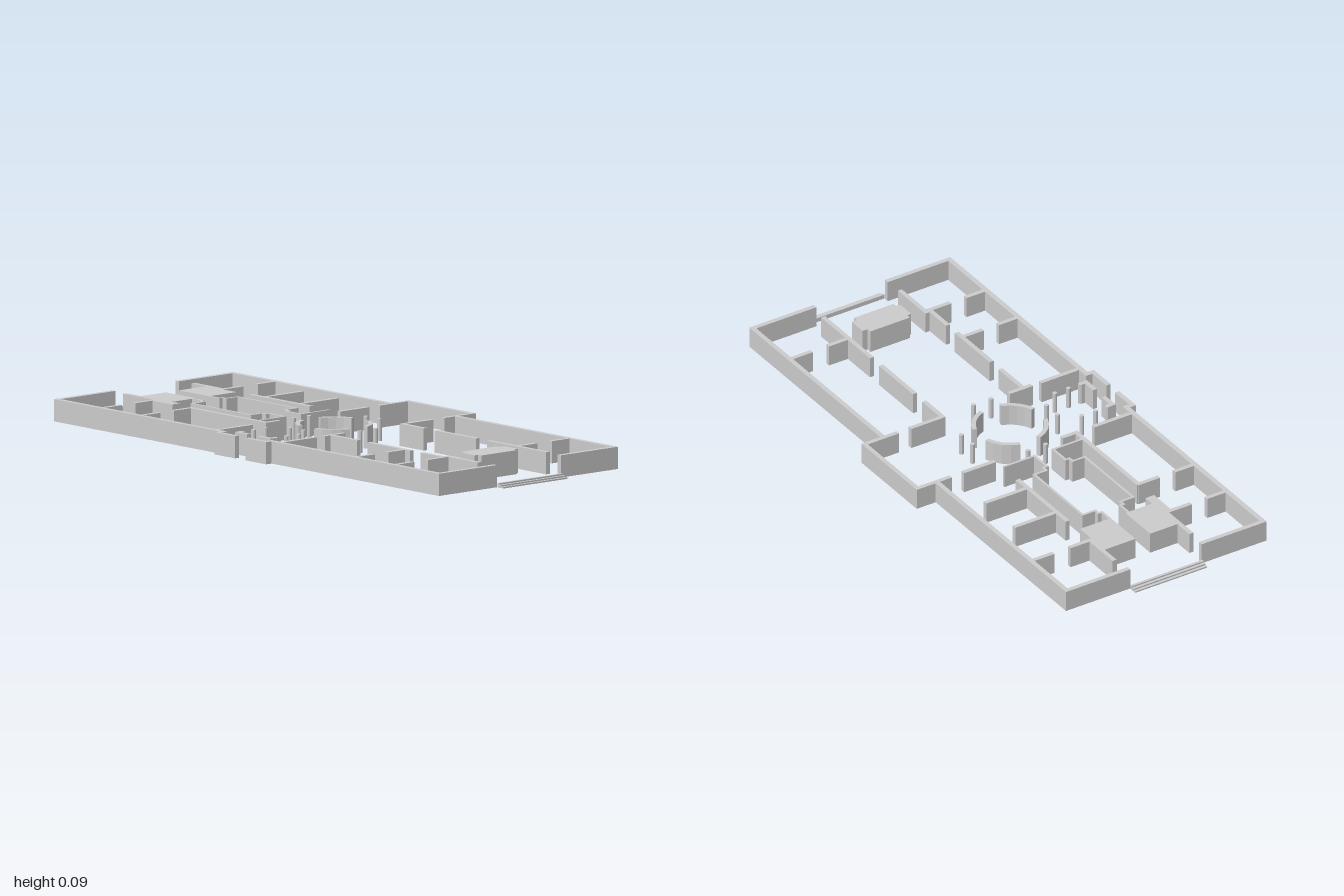
import * as THREE from 'three';

const BASE = 0.004, TOP = 0.079;

export function createModel() {
  const model = new THREE.Group();
  const mat = new THREE.MeshStandardMaterial({ color: 0xcccccc, flatShading: true });

  const add = (parent, name, geo) => {
    const mesh = new THREE.Mesh(geo, mat);
    mesh.name = name;
    parent.add(mesh);
    return mesh;
  };
  const group = (name) => {
    const g = new THREE.Group();
    g.name = name;
    model.add(g);
    return g;
  };
  // Box given by its plan rectangle and height range
  const slab = (parent, name, x0, x1, z0, z1, y0 = BASE, y1 = TOP) => {
    const geo = new THREE.BoxGeometry(x1 - x0, y1 - y0, z1 - z0);
    geo.translate((x0 + x1) / 2, (y0 + y1) / 2, (z0 + z1) / 2);
    return add(parent, name, geo);
  };
  // Plan outline raised to a solid
  const raise = (parent, name, pts, y0 = BASE, y1 = TOP) => {
    const shape = new THREE.Shape(pts.map(([x, z]) => new THREE.Vector2(x, -z)));
    const geo = new THREE.ExtrudeGeometry(shape, { depth: y1 - y0, bevelEnabled: false });
    geo.rotateX(-Math.PI / 2).translate(0, y0, 0);
    return add(parent, name, geo);
  };

  // Outer walls, open at both ends
  const outer = group('outerWalls');
  raise(outer, 'backWall', [
    [-0.968, -0.12], [-0.968, -0.375], [-0.172, -0.375], [-0.172, -0.45],
    [0.167, -0.45], [0.167, -0.375], [0.967, -0.375], [0.967, -0.12],
    [0.95, -0.12], [0.95, -0.358], [0.167, -0.358], [0.167, -0.31],
    [0.151, -0.31], [0.151, -0.434], [-0.156, -0.434], [-0.156, -0.31],
    [-0.172, -0.31], [-0.172, -0.358], [-0.951, -0.358], [-0.951, -0.12]]);
  raise(outer, 'frontRightWall', [
    [-0.968, 0.163], [-0.951, 0.163], [-0.951, 0.403], [-0.115, 0.403], [-0.115, 0.428],
    [-0.03, 0.428], [-0.03, 0.445], [-0.133, 0.445], [-0.133, 0.421], [-0.968, 0.421]]);
  raise(outer, 'frontLeftWall', [
    [0.967, 0.163], [0.95, 0.163], [0.95, 0.403], [0.108, 0.403], [0.108, 0.428],
    [0.022, 0.428], [0.022, 0.445], [0.126, 0.445], [0.126, 0.421], [0.967, 0.421]]);

  // Partitions along x: [x0, x1, z centre]
  const inner = group('partitions');
  const t = 0.008;
  [
    [-0.893, -0.735, -0.133], [-0.605, -0.3, -0.133],
    [0.152, 0.272, -0.133], [0.327, 0.535, -0.133], [0.59, 0.888, -0.133],
    [-0.893, -0.735, 0.171], [-0.547, -0.156, 0.188],
    [0.152, 0.3, 0.188], [0.353, 0.567, 0.188], [0.62, 0.736, 0.188], [0.72, 0.888, 0.171],
    [-0.092, -0.03, 0.383], [0.022, 0.086, 0.383],
  ].forEach(([x0, x1, z]) => slab(inner, 'lengthwisePartition', x0, x1, z - t, z + t));
  // Partitions along z: [x centre, z0, z1]
  [
    [-0.743, -0.365, -0.28], [-0.743, -0.216, -0.13],
    [-0.538, -0.302, -0.13], [-0.361, -0.302, -0.13],
    [0.733, -0.365, -0.28], [0.733, -0.216, -0.13],
    [-0.164, -0.262, -0.135], [0.159, -0.262, -0.13],
    [-0.164, 0.13, 0.19], [0.161, 0.13, 0.222],
    [-0.164, 0.255, 0.41], [0.159, 0.255, 0.41],
    [-0.737, 0.185, 0.27], [-0.737, 0.33, 0.41],
    [-0.542, 0.185, 0.27], [-0.542, 0.33, 0.41],
    [0.535, 0.185, 0.27], [0.535, 0.33, 0.41],
    [0.733, 0.165, 0.27], [0.733, 0.33, 0.41],
    [-0.084, 0.362, 0.385], [0.078, 0.362, 0.385],
  ].forEach(([x, z0, z1]) => slab(inner, 'crosswisePartition', x - t, x + t, z0, z1));

  // Thin walls framing the twin chambers, mirrored about the corridor axis z = 0.03
  const chamber = group('chamberWalls');
  const path = [[-0.668, -0.007], [-0.62, -0.007], [-0.62, -0.02], [-0.6, -0.02], [-0.6, -0.07],
    [-0.305, -0.07], [-0.305, -0.022], [-0.285, -0.022], [-0.285, -0.007], [-0.209, -0.007], [-0.209, -0.125]];
  const h = 0.0045;
  for (const s of [1, -1]) {
    for (let i = 0; i + 1 < path.length; i++) {
      const [a, b] = [path[i], path[i + 1]];
      const za = 0.03 + s * (a[1] - 0.03), zb = 0.03 + s * (b[1] - 0.03);
      slab(chamber, 'thinWall', Math.min(a[0], b[0]) - h, Math.max(a[0], b[0]) + h,
        Math.min(za, zb) - h, Math.max(za, zb) + h, 0, TOP);
    }
  }

  // Solid blocks
  const blocks = group('solidBlocks');
  slab(blocks, 'backBlock', -0.82, -0.668, -0.125, -0.003);
  raise(blocks, 'frontBlock', [[-0.82, 0.055], [-0.668, 0.055], [-0.668, 0.16],
    [-0.628, 0.16], [-0.628, 0.195], [-0.745, 0.195], [-0.745, 0.163], [-0.82, 0.163]]);
  raise(blocks, 'endBlock', [[0.737, -0.075], [0.803, -0.075], [0.803, -0.055], [0.82, -0.055],
    [0.82, 0.102], [0.803, 0.102], [0.803, 0.118], [0.737, 0.118], [0.737, 0.102],
    [0.72, 0.102], [0.72, -0.055], [0.737, -0.055]], BASE, 0.085);

  // Round hall of four curved walls
  const rotunda = group('roundHall');
  for (let q = 0; q < 4; q++) {
    const pts = [];
    const n = 4, a0 = q * Math.PI / 2 + 0.31, span = Math.PI / 2 - 0.62;
    const point = (r, i) => [r * Math.cos(a0 + span * i / n) - 0.002, 0.03 + r * Math.sin(a0 + span * i / n)];
    for (let i = 0; i <= n; i++) pts.push(point(0.13, i));
    for (let i = n; i >= 0; i--) pts.push(point(0.114, i));
    raise(rotunda, 'curvedWall', pts);
  }

  // Columns around the hall and in the entrance
  const columns = group('columns');
  const columnGeo = new THREE.CylinderGeometry(0.008, 0.008, TOP - BASE, 10);
  [[-0.035, -0.14], [0.033, -0.14], [-0.037, 0.196], [0.031, 0.196],
    [-0.168, -0.006], [-0.168, 0.063], [0.165, -0.006], [0.165, 0.063],
    [-0.086, 0.26], [0.079, 0.26], [-0.086, 0.314], [0.079, 0.314],
    [-0.086, 0.362], [0.079, 0.362],
  ].forEach(([x, z]) => add(columns, 'column', columnGeo).position.set(x, (TOP + BASE) / 2, z));

  // Steps at both open ends
  const steps = group('endSteps');
  for (const s of [1, -1]) {
    for (let i = 0; i < 3; i++) {
      const a = s * (0.97 + i * 0.01), b = s * (0.98 + i * 0.01);
      slab(steps, 'step', Math.min(a, b), Math.max(a, b), -0.121, 0.164, BASE, 0.019 - i * 0.005);
    }
  }
  return model;
}
